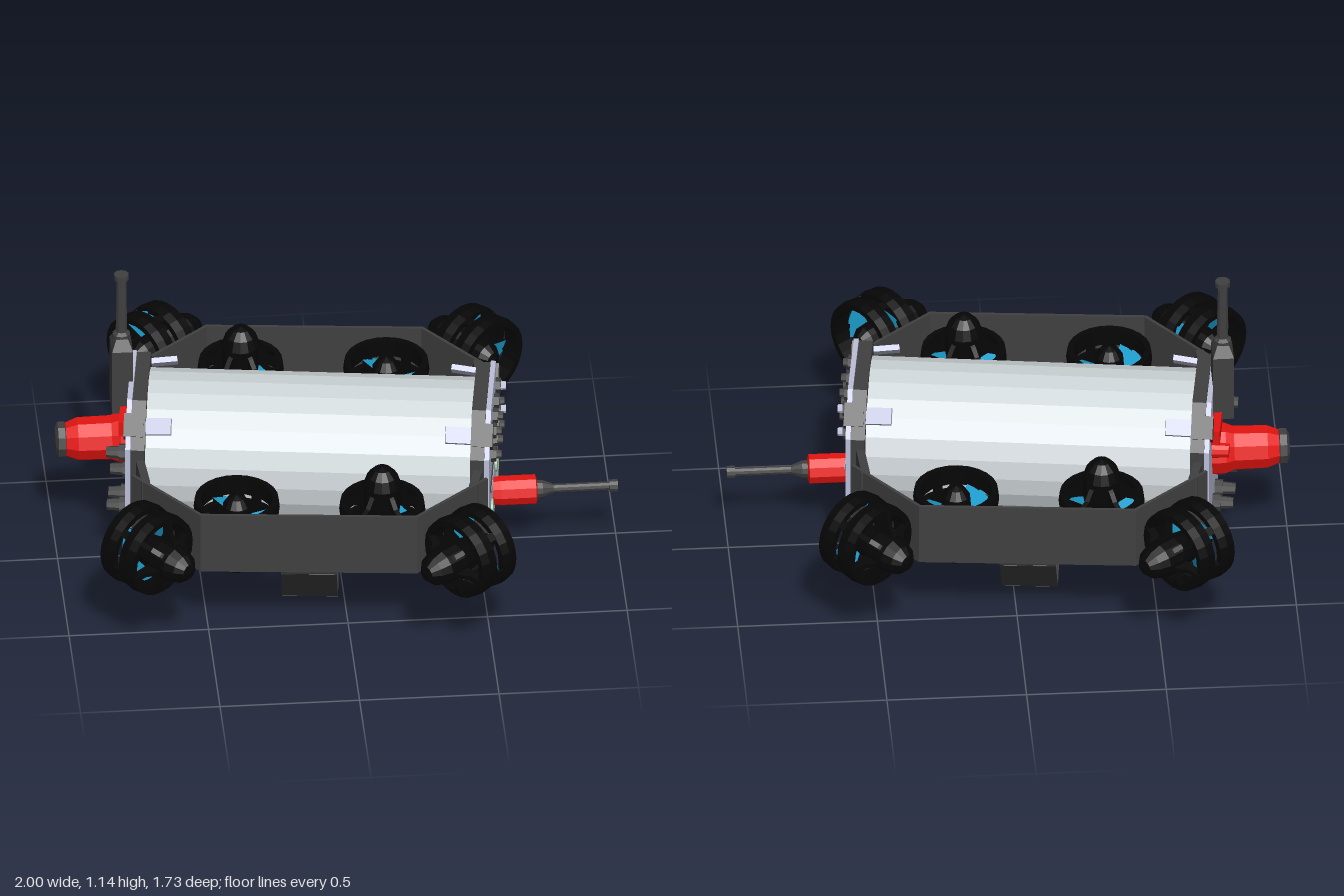
import * as THREE from 'three';

const mat = (name, color) => Object.assign(new THREE.MeshStandardMaterial({ color, side: THREE.DoubleSide, flatShading: true }), { name });

export function createModel() {
  const M = {
    tube: mat('pale grey', 0xd0d7da), plate: mat('lavender metal', 0xbcbfd9), dark: mat('dark grey', 0x404040),
    black: mat('black', 0x060606), blue: mat('blue', 0x1a9ccb), red: mat('red', 0xe41410), green: mat('pale green', 0x9fd0a4),
  };
  const root = new THREE.Group();
  root.name = 'underwaterVehicle';

  const add = (parent, name, geo, material, x = 0, y = 0, z = 0) => {
    const m = new THREE.Mesh(geo, material);
    m.name = name;
    m.position.set(x, y, z);
    parent.add(m);
    return m;
  };
  const group = (parent, name, x = 0, y = 0, z = 0) => {
    const g = new THREE.Group();
    g.name = name;
    g.position.set(x, y, z);
    parent.add(g);
    return g;
  };
  const box = (x, y, z) => new THREE.BoxGeometry(x, y, z);
  const lathe = (pts, n) => new THREE.LatheGeometry(pts.map(p => new THREE.Vector2(...p)), n);
  // Cylinder along x; r1 is the radius at the +x end
  const rod = (r0, r1, len, n = 12) => new THREE.CylinderGeometry(r1, r0, len, n).rotateZ(-Math.PI / 2);
  // Turned part along +x or -x from [radius, distance] points
  const turned = (pts, dir, n = 12) => lathe(pts, n).rotateZ(-dir * Math.PI / 2);
  // Octagonal slab facing x
  const octagon = (h, c, t) => {
    const s = new THREE.Shape([[h, -h + c], [h, h - c], [h - c, h], [-h + c, h], [-h, h - c], [-h, -h + c], [-h + c, -h], [h - c, -h]]
      .map(p => new THREE.Vector2(...p)));
    return new THREE.ExtrudeGeometry(s, { depth: t, bevelEnabled: false }).translate(0, 0, -t / 2).rotateY(Math.PI / 2);
  };

  // ---- Pressure hull with end plates ----
  const hull = group(root, 'hull', -0.09, 0.425, 0);
  hull.rotation.y = -0.135;
  add(hull, 'hullTube', rod(0.272, 0.272, 1.2, 24), M.tube);
  for (const s of [-1, 1]) {
    add(hull, 'endFlange', octagon(0.286, 0.13, 0.05), M.dark, s * 0.607);
    add(hull, 'endPlate', octagon(0.29, 0.13, 0.018), M.plate, s * 0.642);
    for (let i = 0; i < 4; i++) {
      const corner = group(hull, 'cornerClamp');
      corner.rotation.x = Math.PI / 4 + i * Math.PI / 2;
      add(corner, 'clampBlock', box(0.07, 0.055, 0.085), M.dark, s * 0.625, 0.292);
      add(corner, 'clampClip', box(0.12, 0.02, 0.06), M.plate, s * 0.55, 0.298).rotation.z = -s * 0.12;
    }
  }

  // Sockets, slot and indicator discs on the left end plate
  for (const y of [0.195, 0.095]) {
    [0.147, 0.05, -0.046, -0.146].forEach((z, i) => {
      add(hull, 'socketNut', rod(0.03, 0.027, 0.02, 6), M.dark, 0.66, y, z);
      add(hull, 'socketCap', rod(0.017, 0.015, 0.02, 8), i === 3 ? M.plate : M.dark, 0.678, y, z);
    });
  }
  add(hull, 'slotRib', box(0.008, 0.014, 0.49), M.dark, 0.652);
  add(hull, 'slotLine', box(0.008, 0.007, 0.48), M.plate, 0.654);
  for (const z of [0.147, -0.145]) add(hull, 'indicatorDisc', rod(0.033, 0.033, 0.008, 14), M.green, 0.654, -0.135, z);

  // Sockets and bracket on the right end plate
  for (const [y, z] of [[-0.18, 0.13], [-0.2, 0.02], [-0.18, -0.1], [0.07, 0.17]]) {
    add(hull, 'socketBase', rod(0.032, 0.032, 0.03, 8), M.dark, -0.665, y, z);
    add(hull, 'socketPlug', rod(0.02, 0.024, 0.05, 8), M.dark, -0.7, y, z);
  }
  add(hull, 'redBracket', box(0.03, 0.06, 0.34), M.red, -0.667, 0.155, -0.02);
  add(hull, 'redPlug', rod(0.026, 0.03, 0.06, 10), M.red, -0.685, 0.1, -0.18);

  // ---- Cable connectors ----
  const tether = group(root, 'tetherConnector', -0.7, 0.43, -0.12);
  add(tether, 'tetherBody', turned([[0, 0], [0.095, 0], [0.095, 0.07], [0.082, 0.1], [0.08, 0.22], [0.06, 0.268], [0, 0.268]], -1, 10), M.red);
  add(tether, 'tetherCap', turned([[0, 0.25], [0.045, 0.25], [0.066, 0.265], [0.066, 0.29], [0.045, 0.3], [0, 0.3]], -1, 10), M.dark);

  const probe = group(root, 'probe', 0.55, 0.265, 0.09);
  add(probe, 'probeBody', turned([[0, 0], [0.05, 0], [0.055, 0.03], [0.055, 0.155], [0.04, 0.16], [0, 0.16]], 1, 10), M.red);
  add(probe, 'probeRod', turned([[0, 0.15], [0.034, 0.15], [0.032, 0.18], [0.016, 0.22], [0.016, 0.42], [0.023, 0.42], [0.023, 0.45], [0, 0.45]], 1, 10), M.dark);

  // ---- Antenna ----
  const antenna = group(root, 'antenna', -0.763, 0, -0.1);
  add(antenna, 'antennaBase', box(0.075, 0.26, 0.11), M.dark, 0, 0.71);
  add(antenna, 'antennaShoulder', new THREE.CylinderGeometry(0.04, 0.0707, 0.04, 4).rotateY(Math.PI / 4).scale(0.75, 1, 1.1), M.dark, 0, 0.86);
  add(antenna, 'antennaRod', lathe([[0, 0.86], [0.032, 0.86], [0.032, 0.89], [0.021, 0.9], [0.018, 1.12], [0.027, 1.12], [0.027, 1.14], [0, 1.14]], 10), M.dark);

  // ---- Octagonal frame band ----
  const frame = group(root, 'frame', -0.09, 0, 0);
  frame.rotation.y = -0.098;
  // Upright strip between two points of the plan (x, z)
  const strip = (name, [x0, z0], [x1, z1], thick) => {
    const dx = x1 - x0, dz = z1 - z0;
    add(frame, name, box(Math.hypot(dx, dz) + 0.006, 0.24, thick), M.dark, (x0 + x1) / 2, 0.42, (z0 + z1) / 2)
      .rotation.y = -Math.atan2(dz, dx);
  };
  for (const sz of [-1, 1]) {
    strip('sideBand', [-0.385, sz * 0.61], [0.385, sz * 0.61], 0.012);
    for (const sx of [-1, 1]) {
      strip('cornerBand', [sx * 0.385, sz * 0.61], [sx * 0.63, sz * 0.36], 0.012);
      strip('endBand', [sx * 0.585, sz * 0.4], [sx * 0.62, sz * 0.19], 0.03);
    }
  }

  // ---- Belly strap, tray and skid ----
  // Bent sheet from a path of [u, y] points, running along z or x
  const bent = (name, path, width, alongX, offset = 0) => path.slice(1).forEach(([u1, y1], i) => {
    const [u0, y0] = path[i], len = Math.hypot(u1 - u0, y1 - y0), a = Math.atan2(y1 - y0, u1 - u0);
    const geo = box(len + 0.006, 0.01, width).rotateZ(a).translate((u0 + u1) / 2, (y0 + y1) / 2, offset);
    if (!alongX) geo.rotateY(-Math.PI / 2);
    add(frame, name, geo, M.dark);
  });
  bent('bellyStrap', [[-0.605, 0.32], [-0.59, 0.28], [-0.36, 0.035], [-0.29, 0.006], [0.29, 0.006], [0.36, 0.035], [0.59, 0.28], [0.605, 0.32]], 0.2, false);
  for (const s of [-1, 1]) {
    bent('skid', [[-0.53, 0.08], [-0.535, 0.04], [-0.49, 0.006], [0.49, 0.006], [0.535, 0.04], [0.53, 0.08]], 0.1, true, s * 0.07);
    bent('trayBracket', [[s * 0.55, 0.11], [s * 0.6, 0.12], [s * 0.62, 0.16]], 0.22, true);
  }
  add(frame, 'tray', box(1.13, 0.035, 0.25), M.dark, 0, 0.095);
  add(frame, 'ballast', new THREE.CylinderGeometry(0.1, 0.1, 0.08, 16), M.dark, 0, 0.04);

  // ---- Thrusters: pod points along +y ----
  const finShape = new THREE.Shape([[0.04, 0.15], [0.075, 0.125], [0.1, 0.098], [0.147, 0.08], [0.147, 0.055], [0.04, 0.075]]
    .map(p => new THREE.Vector2(...p)));
  const finGeo = new THREE.ExtrudeGeometry(finShape, { depth: 0.018, bevelEnabled: false }).translate(0, 0, -0.009);
  const ductRing = (y0, y1) => lathe([[0.128, y0], [0.15, y0], [0.154, (y0 + y1) / 2], [0.15, y1], [0.128, y1], [0.128, y0]], 24);
  const lower = ductRing(-0.085, -0.018), upper = ductRing(0.01, 0.08);
  const podGeo = lathe([[0, -0.1], [0.03, -0.09], [0.05, -0.06], [0.055, 0], [0.068, 0.08], [0.068, 0.15], [0.055, 0.19], [0.03, 0.217], [0, 0.225]], 14);
  const bladeGeo = new THREE.RingGeometry(0.045, 0.14, 6, 1, -0.48, 0.96).rotateX(-Math.PI / 2).rotateX(0.35);
  const thruster = (name, x, z, dir) => {
    const t = group(frame, name, x, 0.42, z);
    t.quaternion.setFromUnitVectors(new THREE.Vector3(0, 1, 0), new THREE.Vector3(...dir).normalize());
    add(t, 'ductLower', lower, M.black);
    add(t, 'ductUpper', upper, M.black);
    add(t, 'motorPod', podGeo, M.black);
    for (let i = 0; i < 6; i++) {
      const a = i * Math.PI / 3;
      add(t, 'ductFin', finGeo, M.black).rotation.y = a;
      add(t, 'ductPost', box(0.018, 0.04, 0.03), M.black, Math.cos(a) * 0.138, -0.004, -Math.sin(a) * 0.138).rotation.y = a;
      if (i % 2) add(t, 'propellerBlade', bladeGeo, M.blue, 0, -0.004).rotation.y = a + 0.22;
    }
  };
  for (const sx of [-1, 1]) for (const sz of [-1, 1]) {
    thruster('verticalThruster', sx * 0.26, sz * 0.449, [0, sx * sz, 0]);
    thruster('cornerThruster', sx * 0.577, sz * 0.647, [-sx, 0, sz]);
  }
  return root;
}
